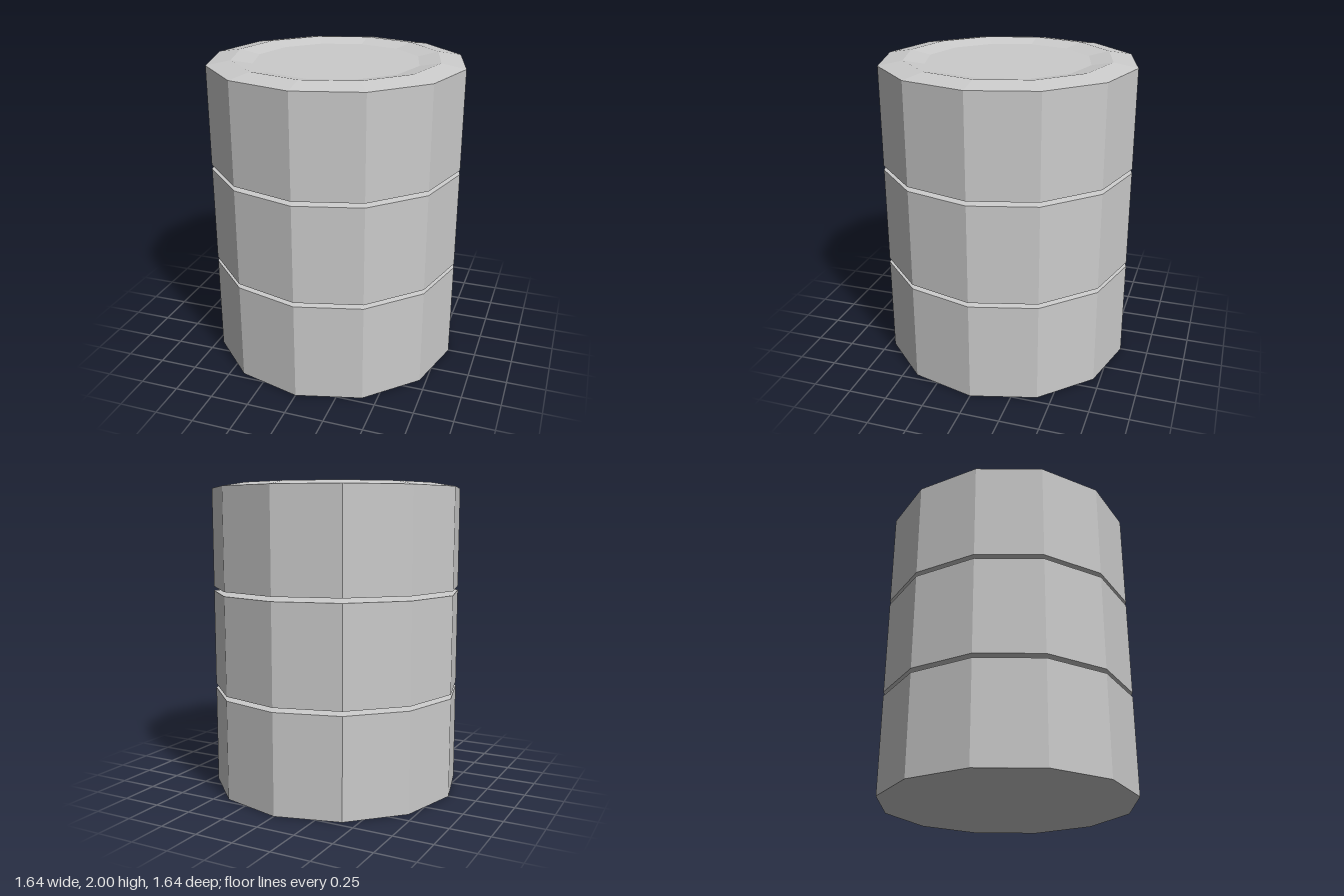
import * as THREE from 'three';

const SIDES = 12;
const R = 0.818;        // outer radius
const GROOVE_R = 0.67;  // radius at the bottom of each groove
const PITCH = 2 / 3 - 0.008; // spacing of the grooves
const LIP = 0.014;      // half height of a groove

export function createModel() {
  const model = new THREE.Group();
  model.name = 'barrel';
  const material = new THREE.MeshStandardMaterial({ color: 0xcccccc, flatShading: true });

  // Twelve-sided surface of revolution from [radius, height] pairs, bottom to top
  const addLathe = (name, profile) => {
    const points = profile.map(([r, y]) => new THREE.Vector2(r, y));
    const mesh = new THREE.Mesh(new THREE.LatheGeometry(points, SIDES), material);
    mesh.name = name;
    model.add(mesh);
  };

  // Flat base and lower drum section, ending in the first groove
  const g1 = PITCH, g2 = 2 * PITCH;
  addLathe('lowerSection', [[0, 0], [R, 0], [R, g1 - LIP], [GROOVE_R, g1]]);

  // Middle drum section between the two grooves
  addLathe('middleSection', [[GROOVE_R, g1], [R, g1 + LIP], [R, g2 - LIP], [GROOVE_R, g2]]);

  // Upper drum section
  addLathe('upperSection', [[GROOVE_R, g2], [R, g2 + LIP], [R, 1.974]]);

  // Sloping rim and shallow recessed lid
  addLathe('lid', [[R, 1.974], [0.664, 2], [0.53, 1.974], [0, 1.974]]);

  return model;
}
